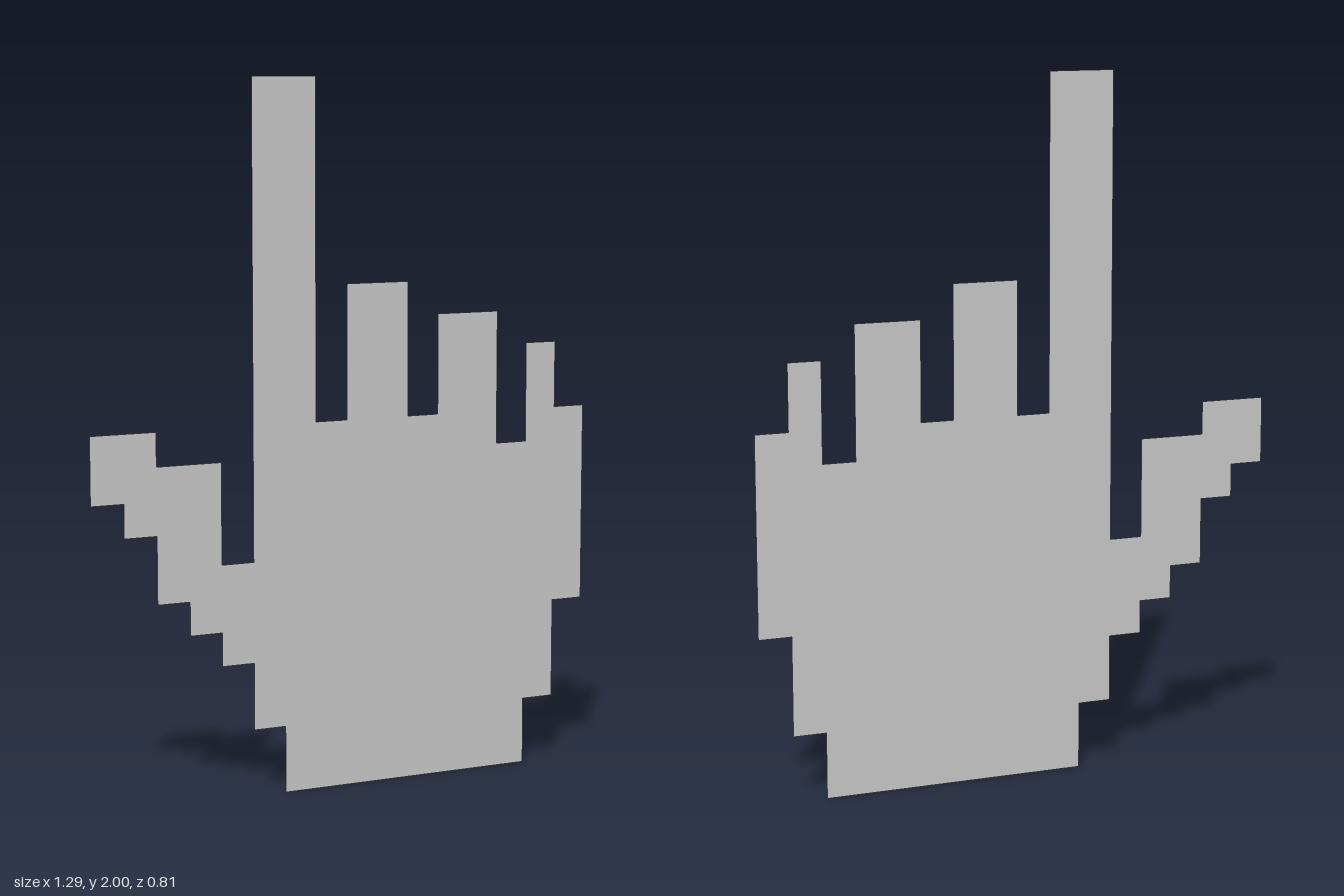
import * as THREE from 'three';

// Flat pixel-style pointing hand: a paper-thin sheet on a 16 x 21 cell grid
const CELL = 2 / 21;
const COLUMNS = 16;

export function createModel() {
  const hand = new THREE.Group();
  hand.name = 'pointingHand';
  const material = new THREE.MeshStandardMaterial({ color: 0xcccccc, side: THREE.DoubleSide });

  // Flat panel from corners given in grid cells (column, row from the bottom)
  const addPanel = (name, corners) => {
    const points = corners.map(([c, r]) => new THREE.Vector2((c - COLUMNS / 2) * CELL, r * CELL));
    const panel = new THREE.Mesh(new THREE.ShapeGeometry(new THREE.Shape(points)), material);
    panel.name = name;
    hand.add(panel);
  };

  // Palm, stepping in towards the wrist
  addPanel('palm', [
    [6, 0], [14, 0], [14, 2], [15, 2], [15, 5], [16, 5], [16, 11], [14, 11],
    [14, 10], [13, 10], [13, 11], [5, 11], [5, 2], [6, 2],
  ]);

  // Staircase thumb
  addPanel('thumb', [
    [5, 4], [5, 7], [4, 7], [4, 10], [2, 10], [2, 11], [0, 11], [0, 9],
    [1, 9], [1, 8], [2, 8], [2, 6], [3, 6], [3, 5], [4, 5], [4, 4],
  ]);

  // Fingers: first column, last column, tip row
  const fingers = [
    ['indexFinger', 5, 7, 21],
    ['middleFinger', 8, 10, 15],
    ['ringFinger', 11, 13, 14],
    ['littleFinger', 14, 15, 13],
  ];
  for (const [name, a, b, tip] of fingers) {
    addPanel(name, [[a, 11], [b, 11], [b, tip], [a, tip]]);
  }

  // The sheet is turned about the vertical axis
  hand.rotation.y = THREE.MathUtils.degToRad(32);

  const model = new THREE.Group();
  model.name = 'model';
  model.add(hand);
  return model;
}
